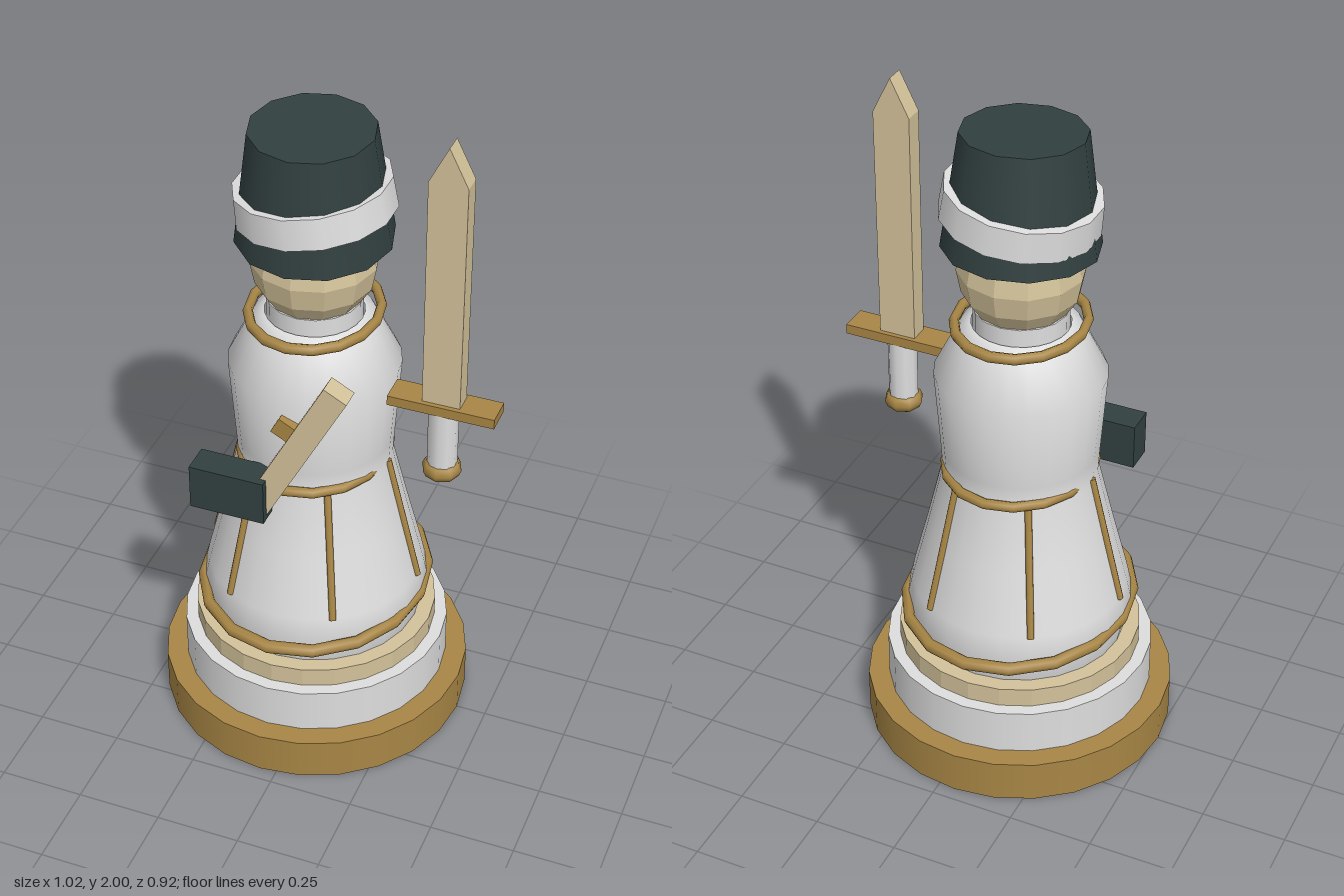
import * as THREE from 'three';

const mat = (name, color, flat = false) => {
  const m = new THREE.MeshStandardMaterial({ color, flatShading: flat });
  m.name = name;
  return m;
};

export function createModel() {
  const gold = mat('gold', 0xa88645);
  const white = mat('white', 0xdedede);
  const cream = mat('cream', 0xd3c29a, true);
  const green = mat('darkGreen', 0x324040);

  const model = new THREE.Group();
  model.name = 'chessGuard';
  const figure = new THREE.Group();
  figure.name = 'figure';
  figure.position.x = -0.05;
  model.add(figure);

  const add = (parent, name, geometry, material, x = 0, y = 0, z = 0) => {
    const mesh = new THREE.Mesh(geometry, material);
    mesh.name = name;
    mesh.position.set(x, y, z);
    parent.add(mesh);
    return mesh;
  };
  const cyl = (rTop, rBottom, h, sides) => new THREE.CylinderGeometry(rTop, rBottom, h, sides);
  const box = (w, h, d) => new THREE.BoxGeometry(w, h, d);

  // Stepped base
  add(figure, 'base', cyl(0.46, 0.46, 0.13, 24), gold, 0, 0.065);
  add(figure, 'middleStep', cyl(0.397, 0.397, 0.14, 24), white, 0, 0.2);
  add(figure, 'topStep', cyl(0.36, 0.36, 0.06, 24), cream, 0, 0.3);

  // Robe with flared skirt, waist and shoulders
  const profile = [
    [0.315, 0.33], [0.335, 0.42], [0.32, 0.49], [0.272, 0.68], [0.224, 0.88],
    [0.228, 0.95], [0.246, 1.2], [0.17, 1.35], [0.14, 1.36],
  ].map(([r, y]) => new THREE.Vector2(r, y));
  add(figure, 'robe', new THREE.LatheGeometry(profile, 24), white);
  add(figure, 'neck', cyl(0.135, 0.135, 0.1, 16), white, 0, 1.36);

  // Oval trim rings: hem, belt and collar
  for (const [name, y, radius, tube] of [
    ['hemTrim', 0.418, 0.378, 0.019],
    ['belt', 0.895, 0.244, 0.015],
    ['collar', 1.362, 0.209, 0.016],
  ]) {
    const ring = new THREE.TorusGeometry(radius, tube, 8, 16);
    ring.rotateX(Math.PI / 2);
    ring.scale(0.87, 1, 1);
    add(figure, name, ring, gold, 0, y);
  }

  // Six skirt seams
  for (let i = 0; i < 6; i++) {
    const a = (i * Math.PI) / 3;
    const at = (r, y) => new THREE.Vector3(Math.cos(a) * r, y, Math.sin(a) * r);
    const top = at(0.222, 0.89), bottom = at(0.32, 0.49);
    const seam = add(figure, 'skirtSeam', cyl(0.011, 0.011, top.distanceTo(bottom), 8), gold);
    seam.position.copy(top).add(bottom).multiplyScalar(0.5);
    seam.quaternion.setFromUnitVectors(new THREE.Vector3(0, 1, 0), top.sub(bottom).normalize());
  }

  // Head, tall hat and slanted hat band
  add(figure, 'head', new THREE.SphereGeometry(0.18, 12, 8), cream, 0, 1.53);
  const hat = add(figure, 'hat', cyl(0.175, 0.222, 0.335, 12), green, 0, 1.77, 0.005);
  hat.rotation.x = 0.045;
  const band = add(figure, 'hatBand', cyl(0.22, 0.225, 0.09, 14), white, 0, 1.727);
  band.rotation.z = 0.135;

  // Upright sword on the left side
  const sword = new THREE.Group();
  sword.name = 'sword';
  sword.position.set(0.352, 0, 0.055);
  model.add(sword);
  const outline = new THREE.Shape(
    [[-0.055, 1.18], [0.055, 1.18], [0.055, 1.89], [0, 2], [-0.055, 1.89]]
      .map(([x, y]) => new THREE.Vector2(x, y)),
  );
  const blade = new THREE.ExtrudeGeometry(outline, { depth: 0.058, bevelEnabled: false });
  add(sword, 'blade', blade, cream, 0, 0, -0.029);
  add(sword, 'crossGuard', box(0.31, 0.03, 0.086), gold, 0.003, 1.177);
  add(sword, 'grip', cyl(0.043, 0.043, 0.2, 10), white, 0, 1.065);
  const pommel = add(sword, 'pommel', new THREE.SphereGeometry(0.058, 8, 6), gold, 0, 0.957);
  pommel.scale.y = 0.64;

  // Slanted pistol held across the front
  const pistol = new THREE.Group();
  pistol.name = 'pistol';
  pistol.position.set(-0.0125, 1.045, 0.247);
  pistol.rotation.z = THREE.MathUtils.degToRad(-28);
  model.add(pistol);
  add(pistol, 'barrel', box(0.075, 0.55, 0.062), cream);
  add(pistol, 'hammer', box(0.06, 0.055, 0.035), gold, -0.06, 0.055);
  add(model, 'pistolStock', box(0.225, 0.14, 0.09), green, -0.2025, 0.875, 0.255);

  return model;
}
